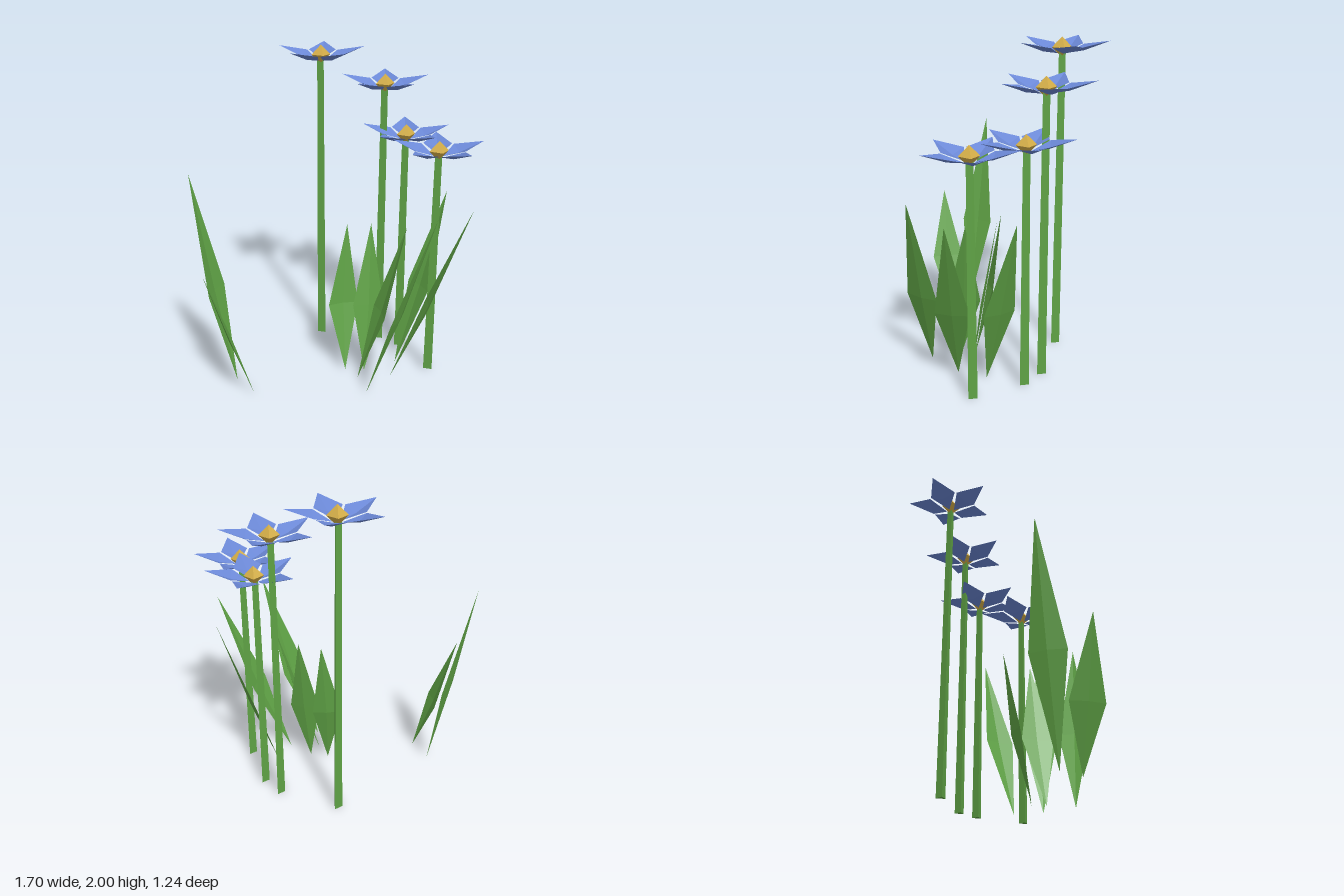
import * as THREE from 'three';

const mat = (name, color) => {
  const m = new THREE.MeshStandardMaterial({ color, flatShading: true, side: THREE.DoubleSide });
  m.name = name;
  return m;
};

// Folded four-facet blade: base, right edge, tip, left edge, meeting at a midrib point
function blade(base, right, tip, left, mid) {
  const pts = [base, right, mid, right, tip, mid, tip, left, mid, left, base, mid];
  const g = new THREE.BufferGeometry();
  g.setAttribute('position', new THREE.Float32BufferAttribute(pts.flat(), 3));
  g.computeVertexNormals();
  return g;
}

export function createModel() {
  const green = mat('leaf green', 0x5fa245);
  const blue = mat('petal blue', 0x6b88d6);
  const gold = mat('centre gold', 0xd4ae48);

  const model = new THREE.Group();
  model.name = 'flowerPatch';
  const add = (parent, name, geometry, material) => {
    const mesh = new THREE.Mesh(geometry, material);
    mesh.name = name;
    parent.add(mesh);
    return mesh;
  };

  // Flowers: x, z, total height
  const flowers = [
    [0.02, -0.35, 2.0],
    [0.38, -0.17, 1.837],
    [0.48, -0.04, 1.545],
    [0.567, 0.285, 1.523],
  ];
  const petal = blade(
    [0.025, -0.095, 0], [0.128, -0.05, 0.085], [0.28, -0.02, 0],
    [0.128, -0.05, -0.085], [0.128, -0.078, 0]);
  const centre = new THREE.OctahedronGeometry(0.06);

  for (const [x, z, h] of flowers) {
    const flower = new THREE.Group();
    flower.name = 'flower';
    flower.position.set(x, 0, z);
    model.add(flower);

    // Tapered three-sided stem
    const len = h - 0.085;
    const stem = new THREE.CylinderGeometry(0.024, 0.032, len, 3, 1, false, -Math.PI / 2);
    add(flower, 'stem', stem, green).position.y = len / 2;

    // Five cupped petals around the centre
    for (let i = 0; i < 5; i++) {
      const p = add(flower, 'petal', petal, blue);
      p.position.y = h;
      p.rotation.y = (i * Math.PI * 2) / 5;
    }
    add(flower, 'flowerCentre', centre, gold).position.y = h - 0.06;
  }

  // Leaves: base x z, tip x y z, then the two edge points x z and their height
  const leaves = [
    [-0.65, 0.12, -0.856, 1.335, -0.048, -0.683, -0.043, -0.797, 0.135, 0.61],
    [-0.573, 0.27, -0.838, 0.82, 0.267, -0.69, 0.167, -0.69, 0.372, 0.37],
    [0.04, 0.18, 0.09, 0.95, 0.025, 0.144, 0.09, -0.045, 0.09, 0.435],
    [0.155, 0.215, 0.23, 0.96, 0.075, 0.285, 0.19, 0.1, 0.14, 0.44],
    [0.09, 0.288, 0.386, 1.0, 0.288, 0.225, 0.18, 0.225, 0.386, 0.45],
    [0.09, 0.468, 0.445, 1.18, 0.62, 0.32, 0.455, 0.18, 0.615, 0.52],
    [0.29, 0.33, 0.737, 1.135, 0.447, 0.53, 0.29, 0.455, 0.482, 0.51],
    [0.38, 0.17, 0.73, 1.125, 0.06, 0.51, 0.025, 0.57, 0.215, 0.515],
  ];
  for (const [bx, bz, tx, ty, tz, rx, rz, lx, lz, my] of leaves) {
    // Midrib sits slightly outside the plane of the edges, on the leaning side
    const lean = Math.hypot(tx - bx, tz - bz);
    const k = 0.015 / lean;
    const mid = [(rx + lx) / 2 + (tx - bx) * k, my, (rz + lz) / 2 + (tz - bz) * k];
    add(model, 'leaf',
      blade([bx, 0.005, bz], [rx, my, rz], [tx, ty, tz], [lx, my, lz], mid), green);
  }
  return model;
}
